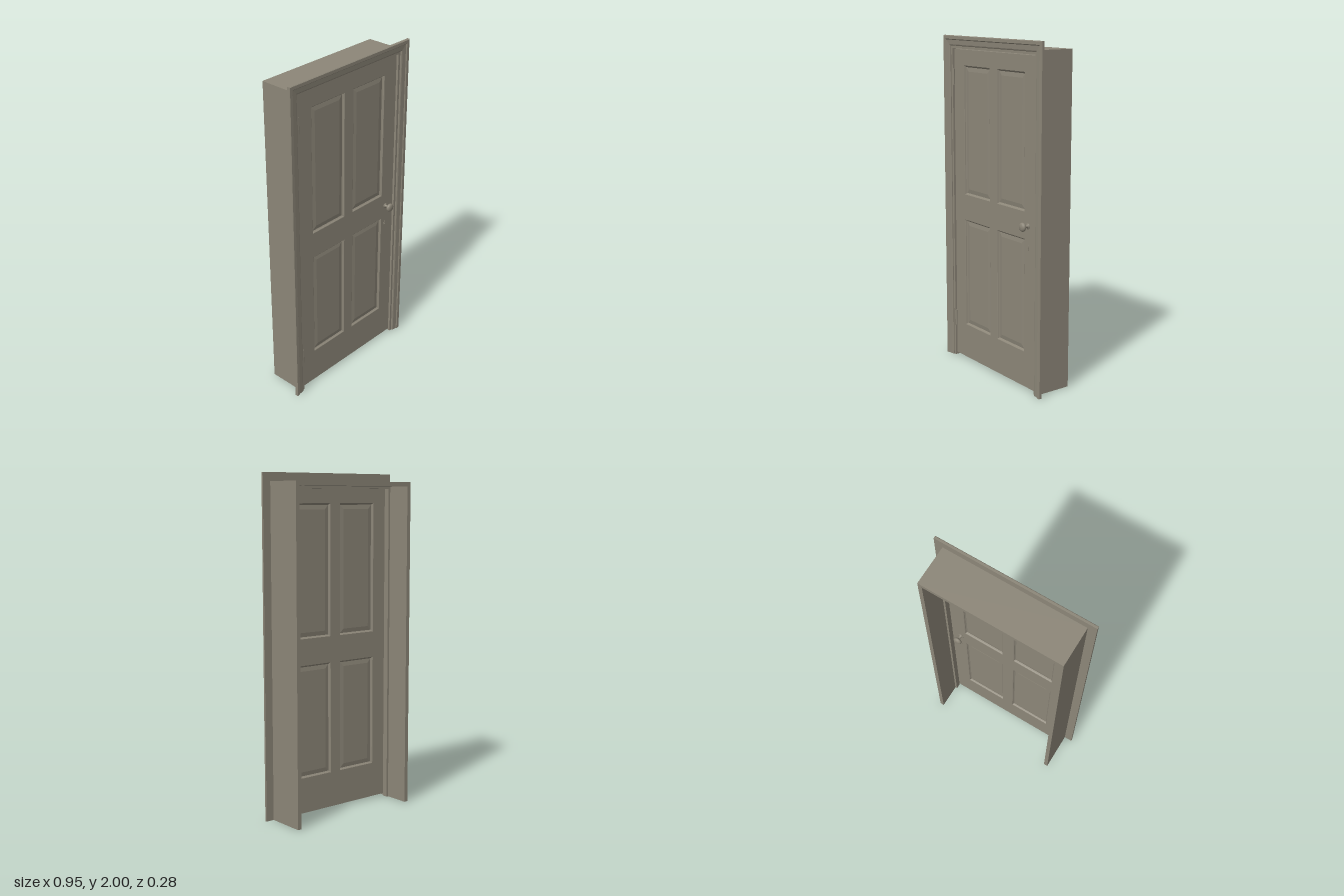
import * as THREE from 'three';

const paint = new THREE.MeshStandardMaterial({ color: 0x8c8678 });
paint.name = 'grey taupe paint';

const DOOR_Z = 0.065, HALF = 0.02; // door centre plane and half thickness

function mesh(name, geometry, x = 0, y = 0, z = 0) {
  const m = new THREE.Mesh(geometry, paint);
  m.name = name;
  m.position.set(x, y, z);
  return m;
}

// Box given by its limits on each axis
function block(name, x0, x1, y0, y1, z0, z1) {
  return mesh(name, new THREE.BoxGeometry(x1 - x0, y1 - y0, z1 - z0),
    (x0 + x1) / 2, (y0 + y1) / 2, (z0 + z1) / 2);
}

function fromTriangles(points) {
  const g = new THREE.BufferGeometry().setFromPoints(points);
  g.computeVertexNormals();
  return g;
}

// Mitred sweep up, across and down; profile points are [inset from outside, z]
function archSweep(outerX, topY, profile) {
  const path = [
    ([w, z]) => new THREE.Vector3(-outerX + w, 0, z),
    ([w, z]) => new THREE.Vector3(-outerX + w, topY - w, z),
    ([w, z]) => new THREE.Vector3(outerX - w, topY - w, z),
    ([w, z]) => new THREE.Vector3(outerX - w, 0, z),
  ];
  const pts = [];
  const n = profile.length;
  for (let s = 0; s < 3; s++) {
    for (let i = 0; i < n; i++) {
      const j = (i + 1) % n;
      const a = path[s](profile[i]), b = path[s](profile[j]);
      const c = path[s + 1](profile[j]), d = path[s + 1](profile[i]);
      pts.push(a, b, c, a, c, d);
    }
  }
  // Feet, always facing down
  const faces = THREE.ShapeUtils.triangulateShape(profile.map(([w, z]) => new THREE.Vector2(w, z)), []);
  for (const end of [path[0], path[3]]) {
    for (const f of faces) {
      const [a, b, c] = f.map((i) => end(profile[i]));
      const up = b.clone().sub(a).cross(c.clone().sub(a)).y > 0;
      pts.push(...(up ? [a, c, b] : [a, b, c]));
    }
  }
  return fromTriangles(pts);
}

// Moulded, raised panel made of nested rectangles [inset, z]
function panelGeometry(w, h) {
  const rings = [[0, HALF], [0.003, 0.018], [0.005, 0.013], [0.01, 0.008], [0.035, 0.012]]
    .map(([inset, z]) => [[-1, -1], [1, -1], [1, 1], [-1, 1]]
      .map(([sx, sy]) => new THREE.Vector3(sx * (w / 2 - inset), sy * (h / 2 - inset), z)));
  const pts = [];
  for (let r = 0; r < rings.length - 1; r++) {
    for (let i = 0; i < 4; i++) {
      const j = (i + 1) % 4;
      const a = rings[r][i], b = rings[r][j], c = rings[r + 1][j], d = rings[r + 1][i];
      pts.push(a, b, c, a, c, d);
    }
  }
  const [a, b, c, d] = rings[rings.length - 1];
  pts.push(a, b, c, a, c, d);
  return fromTriangles(pts);
}

// Rose, neck and flattened knob, turned about z
function knobGeometry() {
  const profile = [[0, 0], [0.017, 0], [0.017, 0.002], [0.014, 0.004], [0.008, 0.006], [0.007, 0.022],
    [0.012, 0.025], [0.021, 0.029], [0.0255, 0.035], [0.0255, 0.041], [0.022, 0.047], [0.013, 0.051], [0, 0.052]];
  return new THREE.LatheGeometry(profile.map(([r, y]) => new THREE.Vector2(r, y)), 24).rotateX(Math.PI / 2);
}

function keyPlateGeometry() {
  const oval = new THREE.Shape().absellipse(0, 0, 0.009, 0.016, 0, Math.PI * 2);
  const slot = new THREE.Path().absellipse(0, 0, 0.002, 0.006, 0, Math.PI * 2);
  oval.holes.push(slot);
  return new THREE.ExtrudeGeometry(oval, { depth: 0.002, bevelEnabled: false, curveSegments: 10 });
}

export function createModel() {
  const model = new THREE.Group();
  model.name = 'panelledDoorWithFrame';

  // Frame lining
  const frame = new THREE.Group();
  frame.name = 'frame';
  for (const s of [-1, 1]) {
    const x = [s * 0.4, s * 0.425].sort((a, b) => a - b);
    frame.add(block('sideJamb', x[0], x[1], 0, 1.95, -0.14, 0.095));
  }
  frame.add(block('headJamb', -0.4, 0.4, 1.925, 1.95, -0.14, 0.095));

  // Stop strip behind the door
  frame.add(mesh('doorStop', archSweep(0.4, 1.925,
    [[0, 0.01], [0, 0.044], [0.013, 0.044], [0.013, 0.01]])));

  // Moulded casing on the front
  frame.add(mesh('casing', archSweep(0.475, 2, [
    [0, 0.095], [0, 0.108], [0.003, 0.112], [0.021, 0.112], [0.026, 0.107],
    [0.052, 0.105], [0.057, 0.103], [0.06, 0.1], [0.06, 0.095]])));
  model.add(frame);

  // Door leaf: stiles, rails and muntins
  const door = new THREE.Group();
  door.name = 'door';
  door.position.z = DOOR_Z;
  const bar = (name, x0, x1, y0, y1) => door.add(block(name, x0, x1, y0, y1, -HALF, HALF));
  bar('hingeStile', -0.396, -0.297, 0.015, 1.92);
  bar('lockStile', 0.297, 0.396, 0.015, 1.92);
  bar('bottomRail', -0.297, 0.297, 0.015, 0.227);
  bar('lockRail', -0.297, 0.297, 0.897, 1.053);
  bar('topRail', -0.297, 0.297, 1.828, 1.92);
  const rows = [[0.227, 0.897], [1.053, 1.828]];
  for (const [y0, y1] of rows) bar('muntin', -0.035, 0.035, y0, y1);

  // Panels and fittings on both faces
  for (const side of [1, -1]) {
    const turn = side > 0 ? 0 : Math.PI;
    for (const [y0, y1] of rows) {
      for (const sx of [-1, 1]) {
        const panel = mesh('panel', panelGeometry(0.262, y1 - y0), sx * 0.166, (y0 + y1) / 2, 0);
        panel.rotation.y = turn;
        door.add(panel);
      }
    }
    const knob = mesh('knob', knobGeometry(), 0.33, 0.975, side * HALF);
    const keyPlate = mesh('keyPlate', keyPlateGeometry(), 0.33, 0.852, side * HALF);
    knob.rotation.y = keyPlate.rotation.y = turn;
    door.add(knob, keyPlate);
  }

  // Latch plate on the door edge
  door.add(block('latchPlate', 0.395, 0.398, 0.935, 1.015, -0.012, 0.012));
  model.add(door);

  // Hinges
  for (const y of [0.247, 1.755]) {
    const hinge = new THREE.Group();
    hinge.name = 'hinge';
    hinge.add(mesh('hingeBarrel', new THREE.CylinderGeometry(0.006, 0.006, 0.095, 12), -0.398, y, 0.089));
    hinge.add(block('hingeLeaf', -0.4, -0.396, y - 0.045, y + 0.045, 0.05, 0.086));
    model.add(hinge);
  }
  return model;
}
